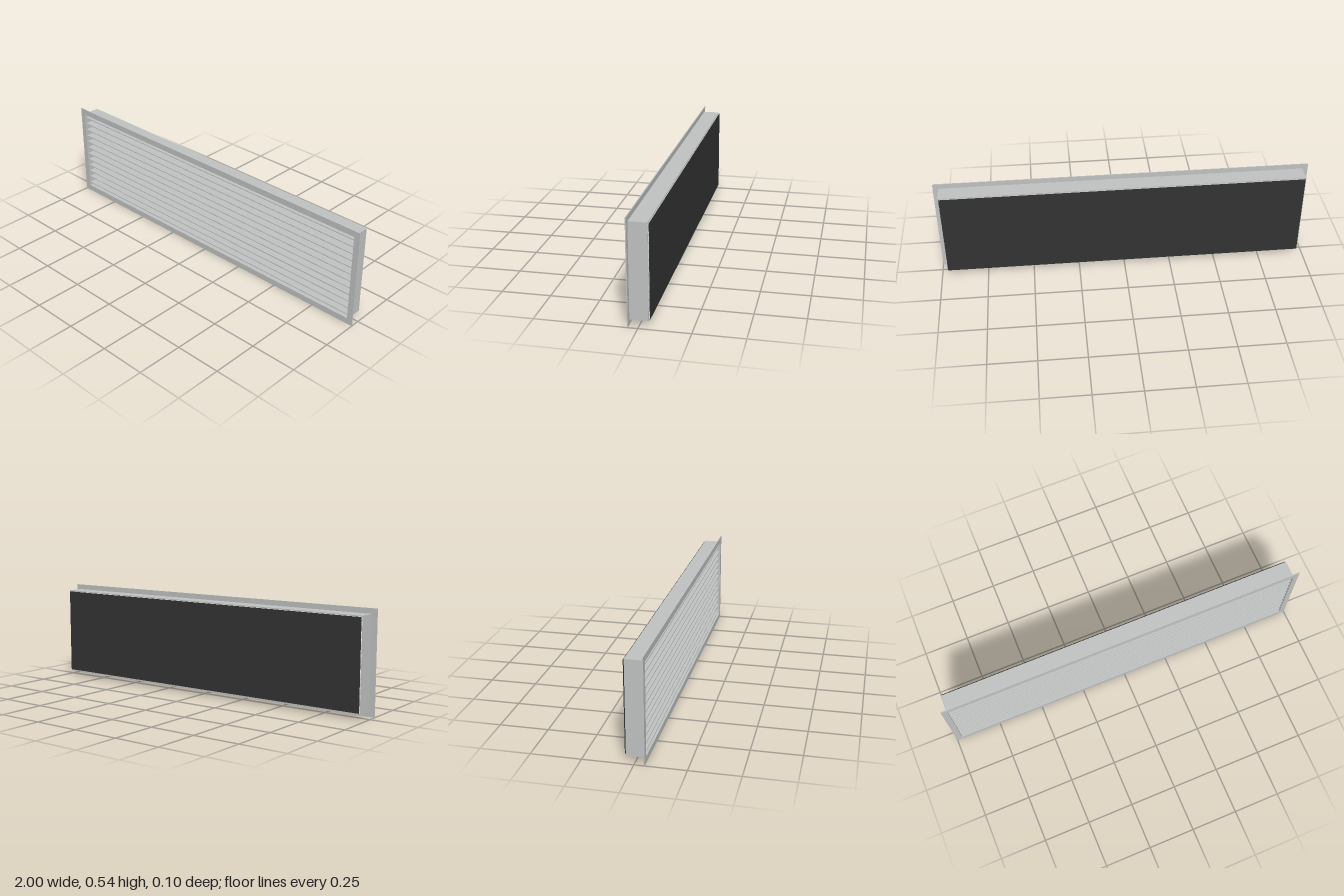
import * as THREE from 'three';

// Rectangular ring, extruded along z from z0 to z1
function ring(w, h, innerW, innerH, z0, z1) {
  const s = new THREE.Shape();
  s.moveTo(-w / 2, -h / 2).lineTo(w / 2, -h / 2).lineTo(w / 2, h / 2).lineTo(-w / 2, h / 2).closePath();
  const p = new THREE.Path();
  const a = innerW / 2, b = innerH / 2;
  p.moveTo(-a, -b).lineTo(-a, b).lineTo(a, b).lineTo(a, -b).closePath();
  s.holes.push(p);
  const g = new THREE.ExtrudeGeometry(s, { depth: z1 - z0, bevelEnabled: false });
  return g.translate(0, 0, z0);
}

export function createModel() {
  const model = new THREE.Group();
  model.name = 'ventGrille';
  const metal = new THREE.MeshStandardMaterial({ color: 0xbfc2c1 });
  metal.name = 'greyMetal';
  const dark = new THREE.MeshStandardMaterial({ color: 0x333333 });
  dark.name = 'darkBacking';

  const H = 0.537, midY = H / 2;
  const openW = 1.937, openH = 0.472;

  const add = (geometry, material, name, y = midY, z = 0) => {
    const m = new THREE.Mesh(geometry, material);
    m.name = name;
    m.position.set(0, y, z);
    model.add(m);
  };

  // Front flange and the duct collar behind it
  add(ring(2, H, openW, openH, 0.046, 0.051), metal, 'flange');
  add(ring(1.942, 0.482, openW, openH, -0.045, 0.046), metal, 'collar');

  // Horizontal blades, evenly pitched
  const count = 12, pitch = openH / count;
  const blade = new THREE.BoxGeometry(openW, 0.005, 0.092);
  for (let i = 0; i < count; i++) {
    add(blade, metal, 'blade' + (i + 1), midY - openH / 2 + pitch * (i + 0.5), 0.001);
  }

  // Dark sheet just behind the collar
  add(new THREE.BoxGeometry(1.932, 0.47, 0.002), dark, 'backPanel', midY, -0.05);
  return model;
}
